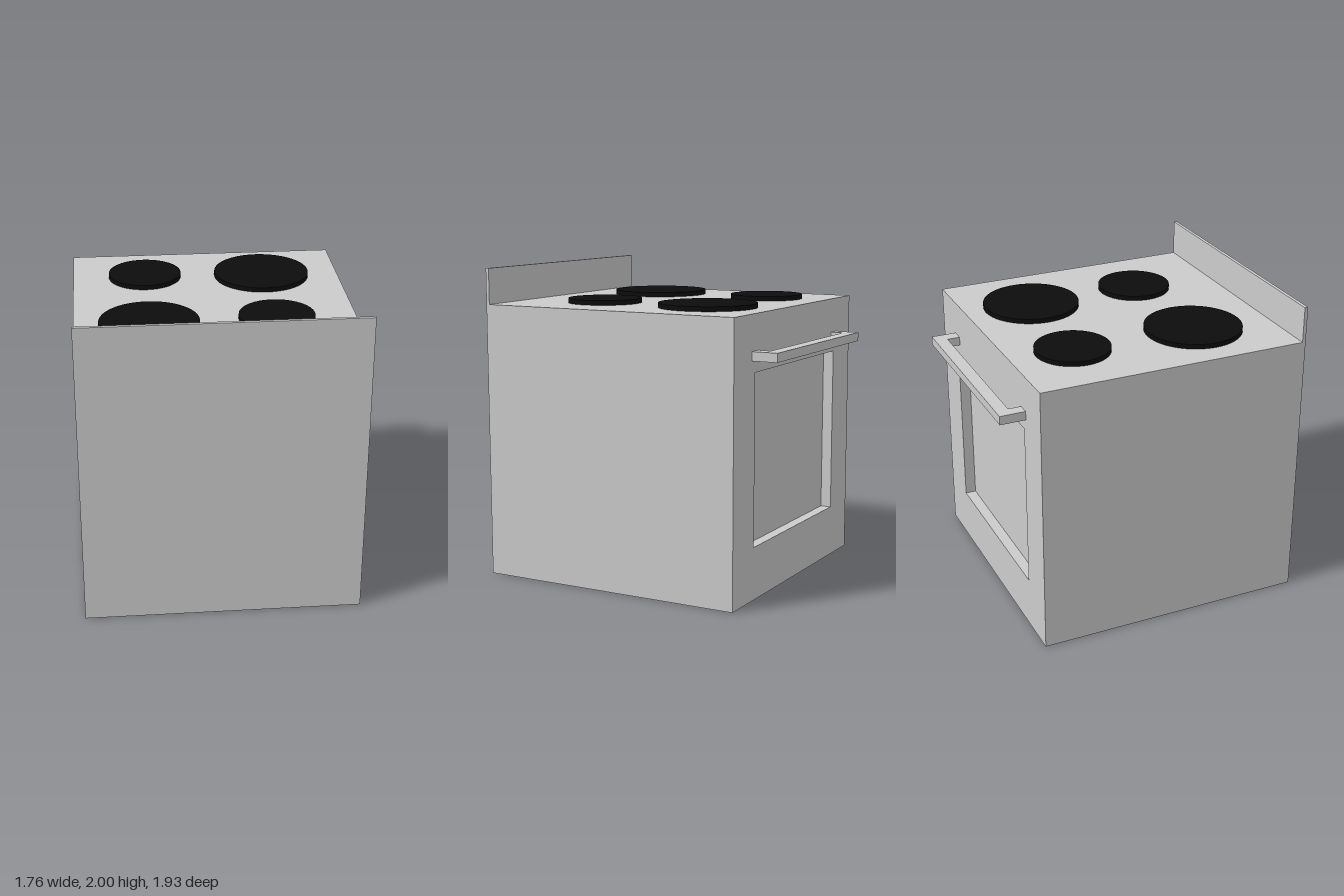
import * as THREE from 'three';

const grey = new THREE.MeshStandardMaterial({ color: 0xcccccc });
const black = new THREE.MeshStandardMaterial({ color: 0x0c0c0c });

const HALF_W = 0.88, TOP = 1.77;
const FRONT = -0.8, BACK = 0.965, RECESS = 0.07;

function addMesh(group, name, geometry, material = grey) {
  const mesh = new THREE.Mesh(geometry, material);
  mesh.name = name;
  group.add(mesh);
  return mesh;
}

// Box given by its min and max corners
function addBox(group, name, [x0, y0, z0], [x1, y1, z1]) {
  const mesh = addMesh(group, name, new THREE.BoxGeometry(x1 - x0, y1 - y0, z1 - z0));
  mesh.position.set((x0 + x1) / 2, (y0 + y1) / 2, (z0 + z1) / 2);
  return mesh;
}

function polygon(points, Type = THREE.Shape) {
  return new Type(points.map(([x, y]) => new THREE.Vector2(x, y)));
}

const rect = (x0, y0, x1, y1) => [[x0, y0], [x1, y0], [x1, y1], [x0, y1]];

export function createModel() {
  const stove = new THREE.Group();
  stove.name = 'stove';

  // Cabinet behind the door recess
  addBox(stove, 'cabinet', [-HALF_W, 0, FRONT + RECESS], [HALF_W, TOP, BACK]);

  // Door face with a recessed window opening
  const door = polygon(rect(-HALF_W, 0, HALF_W, TOP));
  door.holes.push(polygon(rect(-0.61, 0.335, 0.595, 1.415).reverse(), THREE.Path));
  addMesh(stove, 'doorFrame', new THREE.ExtrudeGeometry(door, { depth: RECESS, bevelEnabled: false }))
    .position.z = FRONT;

  // Upright splashback along the rear edge of the hob
  addBox(stove, 'splashback', [-HALF_W, TOP, 0.943], [HALF_W, 2, BACK]);

  // U-shaped door handle, drawn in plan and extruded downwards
  const handle = polygon([
    [-0.643, FRONT], [-0.643, -0.965], [0.64, -0.965], [0.64, FRONT],
    [0.557, FRONT], [0.557, -0.883], [-0.567, -0.883], [-0.567, FRONT],
  ]);
  const handleGeometry = new THREE.ExtrudeGeometry(handle, { depth: 0.057, bevelEnabled: false });
  handleGeometry.rotateX(Math.PI / 2);
  addMesh(stove, 'doorHandle', handleGeometry).position.y = 1.546;

  // Hotplates: x, z, radius
  const plates = [
    [-0.405, -0.395, 0.238],
    [0.37, -0.36, 0.312],
    [-0.415, 0.425, 0.312],
    [0.38, 0.388, 0.238],
  ];
  plates.forEach(([x, z, r], i) => {
    addMesh(stove, `hotplate${i + 1}`, new THREE.CylinderGeometry(r, r, 0.03, 64), black)
      .position.set(x, TOP + 0.015, z);
  });

  return stove;
}
